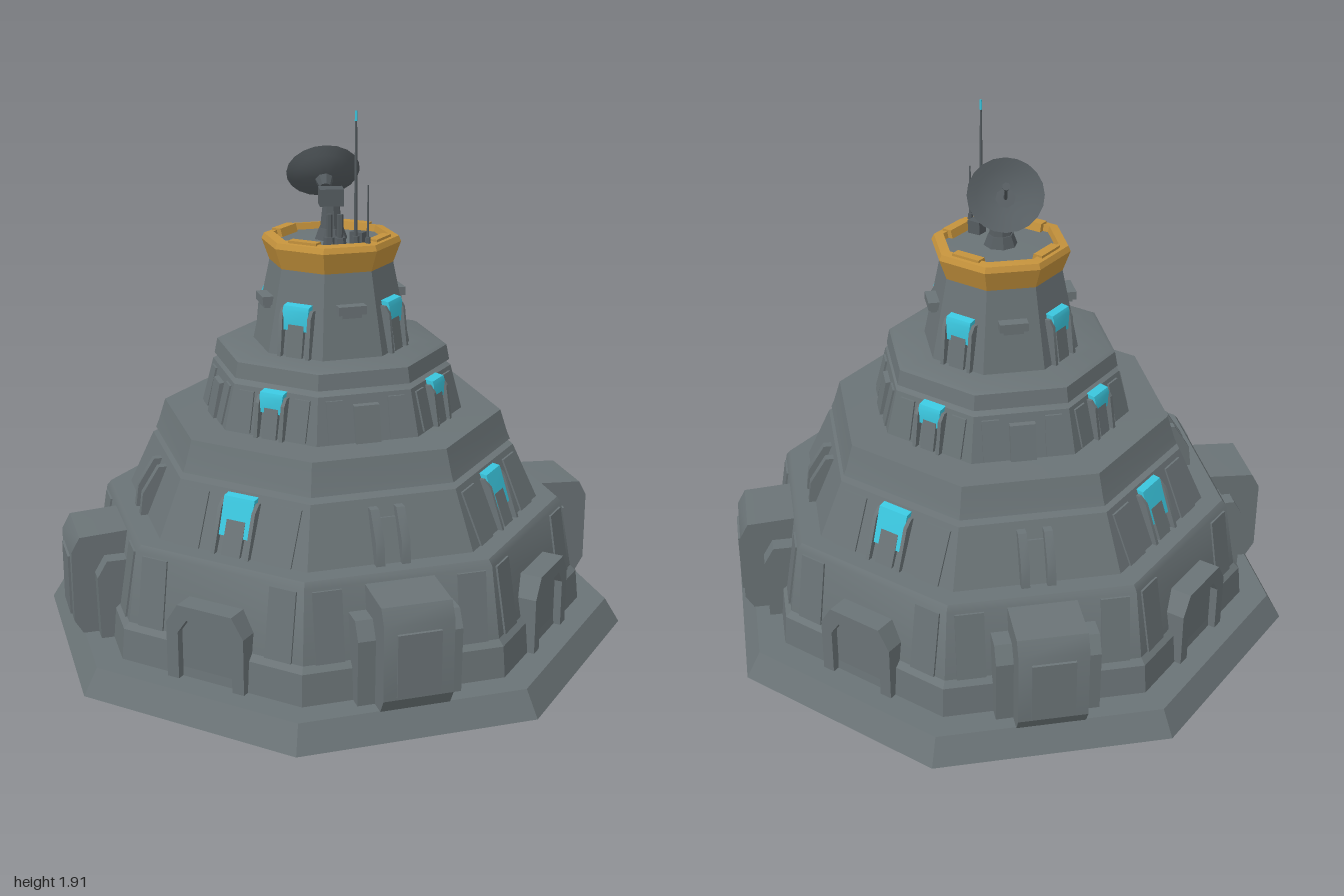
import * as THREE from 'three';
import { toCreasedNormals } from 'three/addons/utils/BufferGeometryUtils.js';

const stone = new THREE.MeshStandardMaterial({ color: 0x6a7376 });
stone.name = 'grey stone';
const metal = new THREE.MeshStandardMaterial({ color: 0x555c60, side: THREE.DoubleSide });
metal.name = 'dark metal';
const gold = new THREE.MeshStandardMaterial({ color: 0xc4923c });
gold.name = 'ochre trim';
const glow = new THREE.MeshStandardMaterial({ color: 0x3ac6de });
glow.name = 'cyan glass';

function add(parent, name, geo, mat, x = 0, y = 0, z = 0) {
  const m = new THREE.Mesh(toCreasedNormals(geo, 0.5), mat);
  m.name = name;
  m.position.set(x, y, z);
  parent.add(m);
  return m;
}

// Octagonal ring or solid from [apothem, y] pairs, flats facing the axes
function octagon(points) {
  const k = 1 / Math.cos(Math.PI / 8);
  return new THREE.LatheGeometry(points.map(([a, y]) => new THREE.Vector2(a * k, y)), 8, Math.PI / 8);
}

const shapeOf = (pts) => new THREE.Shape(pts.map(([x, y]) => new THREE.Vector2(x, y)));

// Side profile of [z, y] pairs, anticlockwise, extruded to width w along x
function profile(pts, w) {
  const g = new THREE.ExtrudeGeometry(shapeOf(pts), { depth: w, bevelEnabled: false });
  return g.translate(0, 0, -w / 2).rotateY(-Math.PI / 2);
}

// Front outline extruded from z0 to z1
function slab(pts, z0, z1) {
  return new THREE.ExtrudeGeometry(shapeOf(pts), { depth: z1 - z0, bevelEnabled: false }).translate(0, 0, z0);
}

// Window with posts, inner panel and glowing hood; wall(y) gives the wall's z
function addWindow(side, wall, base, y0, y1, half) {
  add(side, 'windowGlass', profile([
    [wall(y0) - 0.03, y0], [wall(y0) + 0.012, y0], [wall(y1) + 0.034, y1 - 0.025],
    [wall(y1) + 0.028, y1 - 0.008], [wall(y1) - 0.02, y1],
  ], half * 1.8), glow);
  const ym = y1 - 0.045;
  for (const s of [-1, 1]) {
    add(side, 'windowPost', profile([
      [wall(base) - 0.04, base], [wall(base) + 0.018, base], [wall(ym) + 0.03, ym],
      [wall(y1) + 0.022, y1 - 0.02], [wall(y1) - 0.03, y1 - 0.02],
    ], 0.014), stone, s * half);
  }
  const yp = y0 + (y1 - y0) * 0.4;
  add(side, 'windowPanel', profile([
    [wall(base) - 0.03, base], [wall(base) + 0.012, base], [wall(yp) + 0.018, yp], [wall(yp) - 0.03, yp],
  ], half * 1.1), stone);
}

// Thin raised plate lying on a sloping wall
function addPlate(side, wall, x, y0, y1, w) {
  add(side, 'wallPlate', profile([
    [wall(y0) - 0.02, y0], [wall(y0) + 0.007, y0], [wall(y1) + 0.007, y1], [wall(y1) - 0.02, y1],
  ], w), stone, x);
}

const slope = (ya, za, yb, zb) => (y) => za + (zb - za) * (y - ya) / (yb - ya);

export function createModel() {
  const model = new THREE.Group();
  model.name = 'tieredTower';

  // Stepped octagonal body
  add(model, 'base', octagon([[0, 0], [1, 0], [0.95, 0.09], [0, 0.09]]), stone);
  add(model, 'lowerTier', octagon([[0.855, 0.09], [0.845, 0.2], [0.825, 0.22], [0.785, 0.47], [0.77, 0.49], [0.6, 0.49]]), stone);
  add(model, 'secondTier', octagon([[0.7, 0.49], [0.615, 0.69], [0.56, 0.7], [0.56, 0.71]]), stone);
  add(model, 'secondLedge', octagon([[0.55, 0.705], [0.605, 0.71], [0.595, 0.735], [0.57, 0.82], [0.4, 0.825]]), stone);
  add(model, 'thirdTier', octagon([[0.44, 0.82], [0.4, 0.985], [0.37, 1.0]]), stone);
  add(model, 'thirdLedge', octagon([[0.36, 1.0], [0.395, 1.005], [0.385, 1.06], [0.37, 1.068], [0.2, 1.068]]), stone);
  add(model, 'topTier', octagon([[0.262, 1.065], [0.205, 1.36], [0.1, 1.36]]), stone);

  const wall1 = slope(0.22, 0.825, 0.47, 0.785);
  const wall2 = slope(0.49, 0.7, 0.69, 0.615);
  const wall3 = slope(0.82, 0.44, 0.985, 0.4);
  const wall4 = slope(1.065, 0.262, 1.36, 0.205);

  for (let i = 0; i < 8; i++) {
    const side = new THREE.Group();
    side.name = i % 2 ? 'cornerSide' : 'mainSide';
    side.rotation.y = i * Math.PI / 4;
    model.add(side);

    if (i % 2 === 0) {
      // Doorway
      add(side, 'doorFrame', slab([
        [-0.15, 0.09], [-0.105, 0.09], [-0.105, 0.26], [-0.07, 0.31], [0.07, 0.31], [0.105, 0.26],
        [0.105, 0.09], [0.15, 0.09], [0.15, 0.29], [0.105, 0.36], [-0.105, 0.36], [-0.15, 0.29],
      ], 0.76, 0.88), stone);
      add(side, 'door', slab([
        [-0.106, 0.09], [0.106, 0.09], [0.106, 0.26], [0.07, 0.311], [-0.07, 0.311], [-0.106, 0.26],
      ], 0.78, 0.852), stone);
      // Windows of the upper tiers
      addWindow(side, wall2, 0.49, 0.55, 0.685, 0.066);
      addWindow(side, wall3, 0.82, 0.91, 0.99, 0.05);
      addWindow(side, wall4, 1.068, 1.16, 1.255, 0.056);
      for (const s of [-1, 1]) addPlate(side, wall2, s * 0.18, 0.49, 0.67, 0.1);
    } else {
      // Large corner buttress with lower wings
      add(side, 'buttress', profile([
        [0.72, 0.09], [0.955, 0.09], [0.985, 0.14], [0.985, 0.4], [0.955, 0.455], [0.79, 0.465], [0.72, 0.465],
      ], 0.24), stone);
      add(side, 'buttressPanel', profile([
        [0.9, 0.13], [0.993, 0.15], [0.993, 0.37], [0.9, 0.39],
      ], 0.15), stone);
      add(side, 'buttressWings', profile([
        [0.74, 0.09], [0.9, 0.09], [0.905, 0.32], [0.87, 0.38], [0.74, 0.38],
      ], 0.36), stone);
      // Small fins and vents
      for (const s of [-1, 1]) {
        add(side, 'secondTierFin', profile([
          [0.6, 0.49], [0.725, 0.49], [0.715, 0.57], [0.655, 0.665], [0.58, 0.665],
        ], 0.03), stone, s * 0.045);
      }
      addPlate(side, wall2, 0, 0.49, 0.63, 0.08);
      add(side, 'thirdTierFin', profile([
        [0.39, 0.82], [0.452, 0.82], [0.425, 0.95], [0.37, 0.96],
      ], 0.09), stone);
      add(side, 'ventHood', new THREE.BoxGeometry(0.1, 0.03, 0.06), stone, 0, 1.24, 0.235);
      add(side, 'ventLip', new THREE.BoxGeometry(0.07, 0.014, 0.04), stone, 0, 1.218, 0.235);
    }
    for (const s of [-1, 1]) {
      addPlate(side, wall1, s * 0.25, 0.22, 0.46, 0.1);
      addPlate(side, wall3, s * 0.11, 0.83, 0.97, 0.06);
    }
  }

  // Crown with raised rim
  add(model, 'crown', octagon([[0.195, 1.355], [0.205, 1.36], [0.23, 1.435], [0.222, 1.455], [0.19, 1.46], [0.185, 1.435]]), gold);
  add(model, 'roofDeck', octagon([[0.19, 1.436], [0, 1.442]]), stone);
  for (let i = 0; i < 4; i++) {
    const s = new THREE.Group();
    s.name = 'crownSide';
    s.rotation.y = i * Math.PI / 2;
    model.add(s);
    add(s, 'crownTab', profile([[0.165, 1.43], [0.21, 1.43], [0.21, 1.466], [0.175, 1.466]], 0.11), gold);
  }

  // Dish pedestal
  add(model, 'pedestalFoot', new THREE.CylinderGeometry(0.045, 0.06, 0.04, 8), metal, 0, 1.46, 0);
  add(model, 'pedestal', new THREE.CylinderGeometry(0.03, 0.042, 0.1, 8), metal, 0, 1.52, 0);
  add(model, 'pedestalHead', new THREE.BoxGeometry(0.085, 0.06, 0.07), metal, 0, 1.59, 0).rotation.y = 0.6;

  // Tilted dish, bowl opening along its local y
  const dish = new THREE.Group();
  dish.name = 'dish';
  dish.position.set(-0.055, 1.64, -0.05);
  dish.quaternion.setFromUnitVectors(new THREE.Vector3(0, 1, 0), new THREE.Vector3(-0.45, 0.6, -0.62).normalize());
  model.add(dish);
  const bowl = [0, 0.035, 0.07, 0.1, 0.132].map((r) => new THREE.Vector2(r, r * r * 2.6 - 0.008));
  add(dish, 'dishBowl', new THREE.LatheGeometry(bowl, 20), metal);
  add(dish, 'dishHub', new THREE.CylinderGeometry(0.035, 0.02, 0.04, 8), metal, 0, -0.02, 0);
  add(dish, 'feedArm', new THREE.CylinderGeometry(0.005, 0.007, 0.12, 6), metal, 0, 0.06, 0);
  add(dish, 'feedHorn', new THREE.CylinderGeometry(0.014, 0.01, 0.025, 8), metal, 0, 0.125, 0);

  // Aerials and stacks: x, z, top, radius
  for (const [x, z, top, r] of [[0.145, 0.09, 1.88, 0.007], [0.19, 0.085, 1.66, 0.005], [0.075, 0.15, 1.56, 0.011], [0.108, 0.135, 1.56, 0.011]]) {
    const h = top - 1.435;
    add(model, 'aerial', new THREE.CylinderGeometry(r > 0.01 ? r : r * 0.5, r, h, 6), metal, x, 1.435 + h / 2, z);
    add(model, 'aerialFoot', new THREE.CylinderGeometry(r * 1.8, r * 2.2, 0.045, 6), metal, x, 1.4575, z);
  }
  add(model, 'aerialTip', new THREE.CylinderGeometry(0.004, 0.005, 0.035, 6), glow, 0.145, 1.893, 0.09);
  add(model, 'deckBox', new THREE.BoxGeometry(0.05, 0.05, 0.04), metal, 0.13, 1.46, 0.04);

  return model;
}
